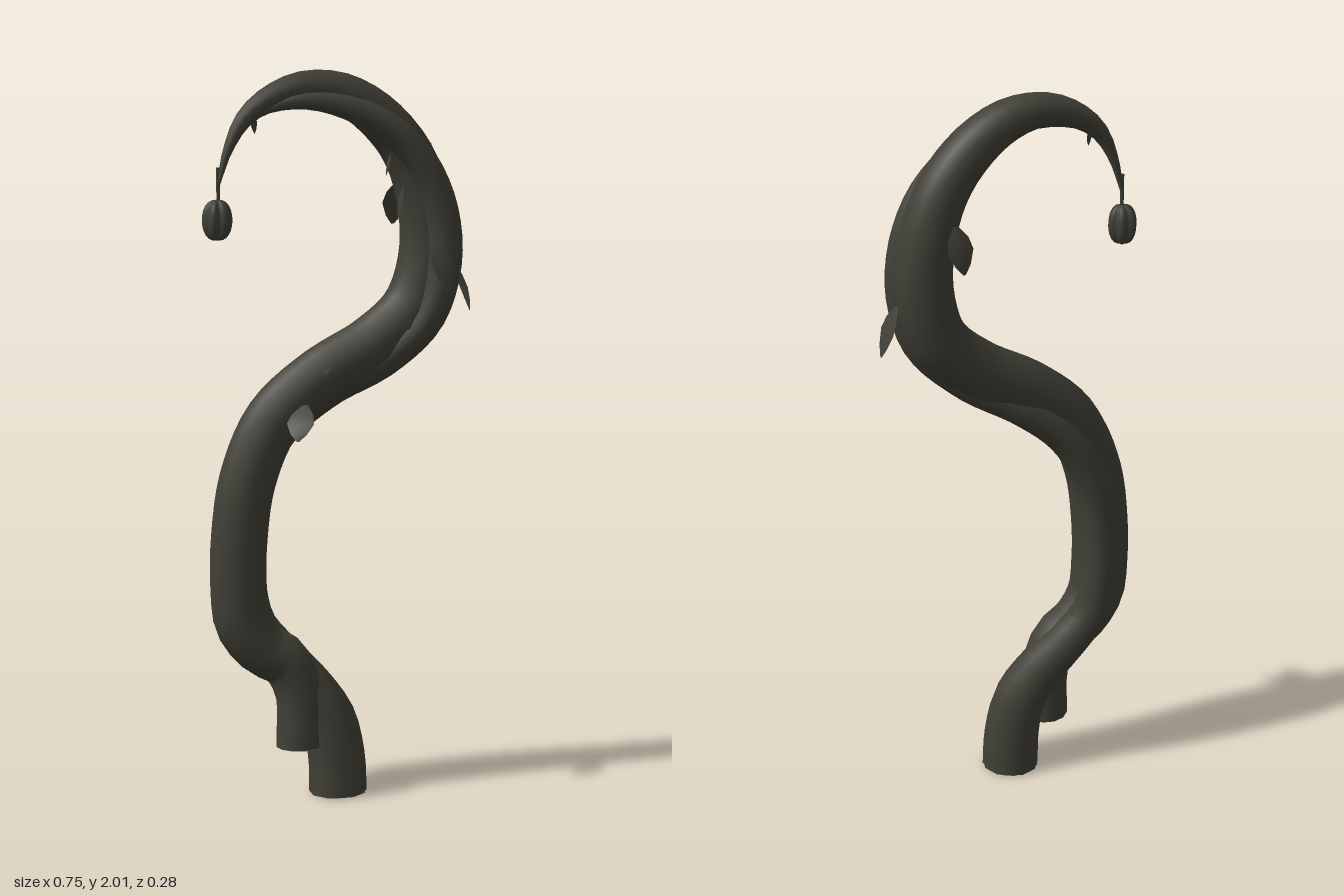
import * as THREE from 'three';

const bark = new THREE.MeshStandardMaterial({ color: 0x414037, side: THREE.DoubleSide });
bark.name = 'dark olive bark';

// Tapered tube through points [x, y, z, radius], closed flat at its foot
function vine(name, pts, segments, sides) {
  const group = new THREE.Group();
  group.name = name;
  const curve = new THREE.CatmullRomCurve3(pts.map(p => new THREE.Vector3(p[0], p[1], p[2])));
  const geo = new THREE.TubeGeometry(curve, segments, 1, sides, false);
  const pos = geo.attributes.position;
  const v = new THREE.Vector3();
  for (let i = 0; i <= segments; i++) {
    const centre = curve.getPointAt(i / segments);
    const t = curve.getUtoTmapping(i / segments) * (pts.length - 1);
    const k = Math.min(Math.floor(t), pts.length - 2);
    const r = THREE.MathUtils.lerp(pts[k][3], pts[k + 1][3], t - k);
    for (let j = 0; j <= sides; j++) {
      const n = i * (sides + 1) + j;
      v.fromBufferAttribute(pos, n).sub(centre).multiplyScalar(r).add(centre);
      pos.setXYZ(n, v.x, v.y, v.z);
    }
  }
  geo.computeBoundingSphere();
  const tube = new THREE.Mesh(geo, bark);
  tube.name = name + 'Tube';
  const foot = new THREE.Mesh(new THREE.CircleGeometry(pts[0][3], sides).rotateX(Math.PI / 2), bark);
  foot.name = name + 'Foot';
  foot.position.set(pts[0][0], pts[0][1], pts[0][2]);
  group.add(tube, foot);
  return group;
}

// Drooping leaf: hangs from its base and arches away along the heading (0 = front)
function leaf(x, y, z, heading, length, width, reach) {
  const rows = [[0, 0.2, 0], [0.25, 0.8, 0.42], [0.5, 1, 0.72], [0.8, 0.6, 0.93], [1, 0.1, 1]];
  const verts = [], index = [];
  rows.forEach(([t, w, out], i) => {
    for (const s of [-1, 0, 1]) {
      verts.push(s * w * width / 2, -t * length, out * reach - Math.abs(s) * w * width * 0.08);
    }
    if (i) for (const c of [0, 1]) {
      const a = (i - 1) * 3 + c, b = a + 3;
      index.push(a, b, a + 1, b, b + 1, a + 1);
    }
  });
  const geo = new THREE.BufferGeometry();
  geo.setAttribute('position', new THREE.Float32BufferAttribute(verts, 3));
  geo.setIndex(index);
  geo.computeVertexNormals();
  const mesh = new THREE.Mesh(geo, bark);
  mesh.name = 'leaf';
  mesh.position.set(x, y, z);
  mesh.rotation.y = heading;
  return mesh;
}

// Ribbed pod with six lobes that meet at both ends
function podBody() {
  const geo = new THREE.SphereGeometry(1, 36, 12);
  const pos = geo.attributes.position;
  for (let i = 0; i < pos.count; i++) {
    const x = pos.getX(i), z = pos.getZ(i);
    const ring = Math.hypot(x, z);
    const a = Math.atan2(z, x);
    const r = 0.029 + 0.013 * Math.abs(Math.cos(3 * a));
    const rr = Math.pow(ring, 0.75) * r;
    pos.setXYZ(i, Math.cos(a) * rr, pos.getY(i) * 0.055, Math.sin(a) * rr);
  }
  geo.computeVertexNormals();
  const mesh = new THREE.Mesh(geo, bark);
  mesh.name = 'podBody';
  return mesh;
}

export function createModel() {
  const model = new THREE.Group();
  model.name = 'hookedVine';

  // Main vine: stays in one plane and ends in the thin hook
  model.add(vine('mainVine', [
    [-0.117, 0.14, -0.005, 0.066], [-0.117, 0.29, -0.01, 0.066], [-0.15, 0.375, -0.014, 0.072],
    [-0.222, 0.425, -0.015, 0.076], [-0.273, 0.5, -0.015, 0.08], [-0.285, 0.6, -0.015, 0.08],
    [-0.282, 0.74, -0.015, 0.08], [-0.257, 0.9, -0.015, 0.08], [-0.185, 1.06, -0.015, 0.08],
    [-0.055, 1.175, -0.015, 0.08], [0.1, 1.265, -0.015, 0.08], [0.205, 1.36, -0.018, 0.08],
    [0.25, 1.5, -0.02, 0.078], [0.242, 1.65, -0.022, 0.075], [0.195, 1.78, -0.022, 0.07],
    [0.11, 1.88, -0.02, 0.064], [0.01, 1.94, -0.018, 0.056], [-0.1, 1.955, -0.016, 0.045],
    [-0.195, 1.925, -0.015, 0.034], [-0.263, 1.872, -0.015, 0.024], [-0.307, 1.79, -0.015, 0.013],
    [-0.333, 1.7, -0.015, 0.005],
  ], 72, 12));

  // Second vine: rises behind the main one, crosses below it and runs along its front
  model.add(vine('twiningVine', [
    [-0.004, 0, -0.01, 0.081], [-0.008, 0.1, -0.011, 0.08], [-0.03, 0.21, -0.017, 0.077],
    [-0.085, 0.305, -0.035, 0.068], [-0.155, 0.39, -0.062, 0.06], [-0.22, 0.48, -0.082, 0.054],
    [-0.244, 0.6, -0.088, 0.051], [-0.245, 0.75, -0.088, 0.05], [-0.22, 0.89, -0.084, 0.05],
    [-0.15, 1.025, -0.07, 0.05], [-0.025, 1.133, -0.045, 0.05], [0.125, 1.222, 0.003, 0.05],
    [0.237, 1.335, 0.032, 0.05], [0.282, 1.49, 0.04, 0.05], [0.268, 1.64, 0.041, 0.048],
    [0.21, 1.765, 0.04, 0.045], [0.115, 1.857, 0.034, 0.04], [0.01, 1.905, 0.025, 0.034],
    [-0.09, 1.922, 0.012, 0.026], [-0.19, 1.905, -0.003, 0.016], [-0.26, 1.862, -0.015, 0.006],
  ], 72, 10));

  // Leaves, large ones first
  const half = Math.PI / 2;
  [
    [-0.115, 1.108, 0.064, -0.5, 0.088, 0.075, 0.08],
    [0.243, 1.54, 0.078, 0.4, 0.13, 0.075, 0.062],
    [0.328, 1.48, -0.015, half, 0.135, 0.078, 0.048],
    [0.19, 1.7, -0.088, Math.PI + 0.15, 0.12, 0.078, 0.04],
    [0.165, 1.345, 0.066, 0.3, 0.04, 0.04, 0.015],
    [0.135, 1.78, 0.02, -half, 0.06, 0.03, 0.012],
    [0.17, 1.69, 0.02, -half, 0.09, 0.045, 0.014],
    [-0.06, 1.215, 0.05, -0.4, 0.03, 0.04, 0.012],
    [-0.238, 1.89, -0.01, 0.5, 0.055, 0.025, 0.006],
  ].forEach(l => model.add(leaf(...l)));

  // Pod hanging from the hook
  const pod = new THREE.Group();
  pod.name = 'pod';
  pod.position.set(-0.337, 1.605, -0.015);
  const stem = new THREE.Mesh(new THREE.CylinderGeometry(0.005, 0.005, 0.1, 6), bark);
  stem.name = 'podStem';
  stem.position.set(0.003, 0.09, 0);
  pod.add(stem, podBody());
  model.add(pod);
  return model;
}
